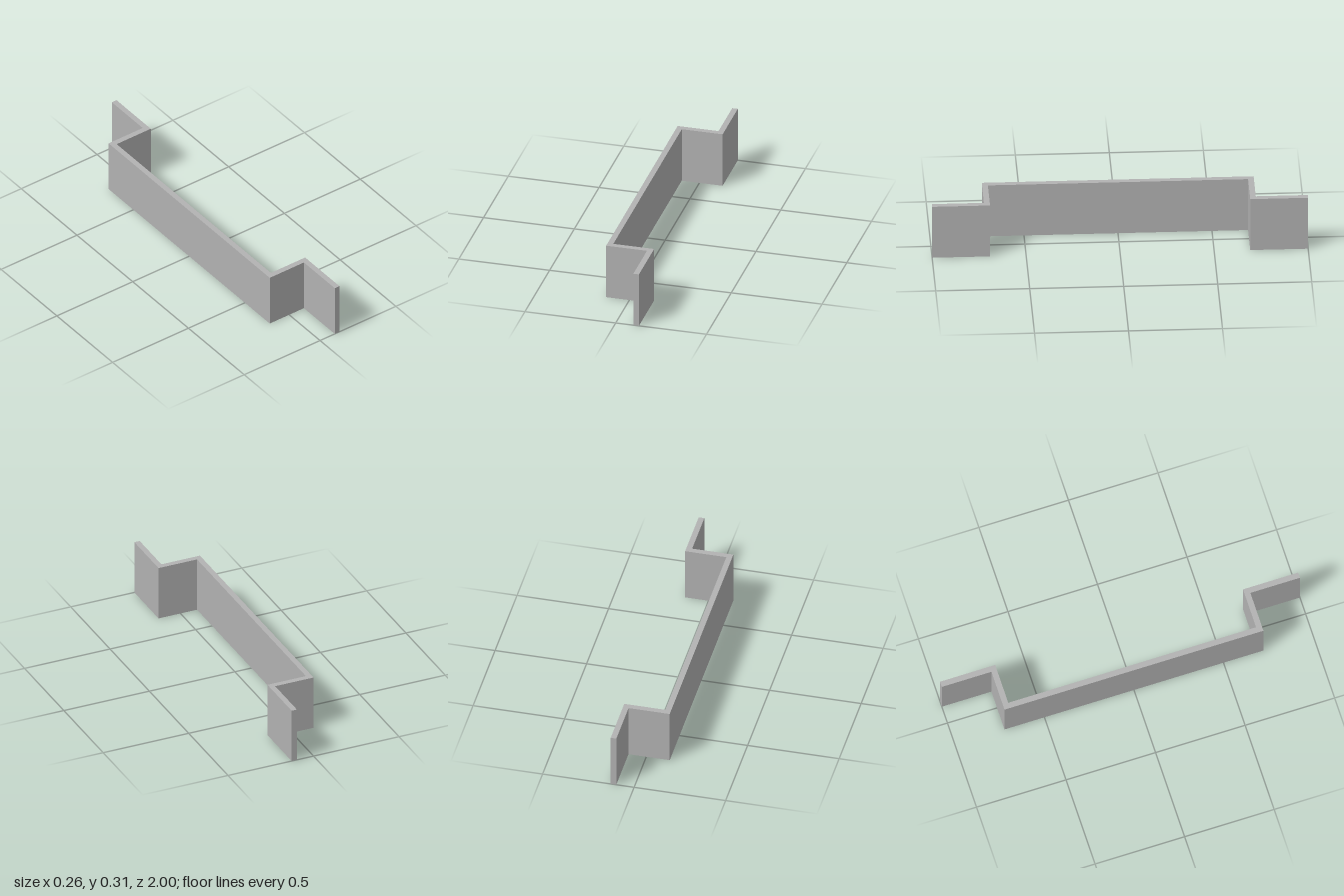
import * as THREE from 'three';

export function createModel() {
  const group = new THREE.Group();
  group.name = 'bracket';
  const grey = new THREE.MeshStandardMaterial({ color: 0xb2b2b2 });
  grey.name = 'plain grey';

  const X = 0.128;      // half depth of the channel
  const T = 0.031;      // sheet thickness
  const H = 0.307;      // height
  const IN = 0.692;     // inner face of each side web

  // Half of the hat-shaped section, from the flange tip round to the back plate
  const outer = [[X - T, 1], [X - T, IN + T], [-X, IN + T]];
  const inner = [[X, 1], [X, IN], [-X + T, IN]];
  const mirror = (pts) => pts.map(([x, y]) => [x, -y]).reverse();
  const outline = [...outer, ...mirror(outer), ...mirror(inner).reverse(), ...inner.slice().reverse()];

  // Order the inner edge from the far flange tip back to the near one
  const path = [...outline.slice(0, 6), ...mirror(inner.slice().reverse()), ...inner.slice().reverse()];
  const shape = new THREE.Shape(path.map(([x, y]) => new THREE.Vector2(x, y)));

  // Folded strip standing upright
  const geometry = new THREE.ExtrudeGeometry(shape, { depth: H, bevelEnabled: false });
  geometry.rotateX(-Math.PI / 2);
  const strip = new THREE.Mesh(geometry, grey);
  strip.name = 'foldedStrip';
  group.add(strip);
  return group;
}
